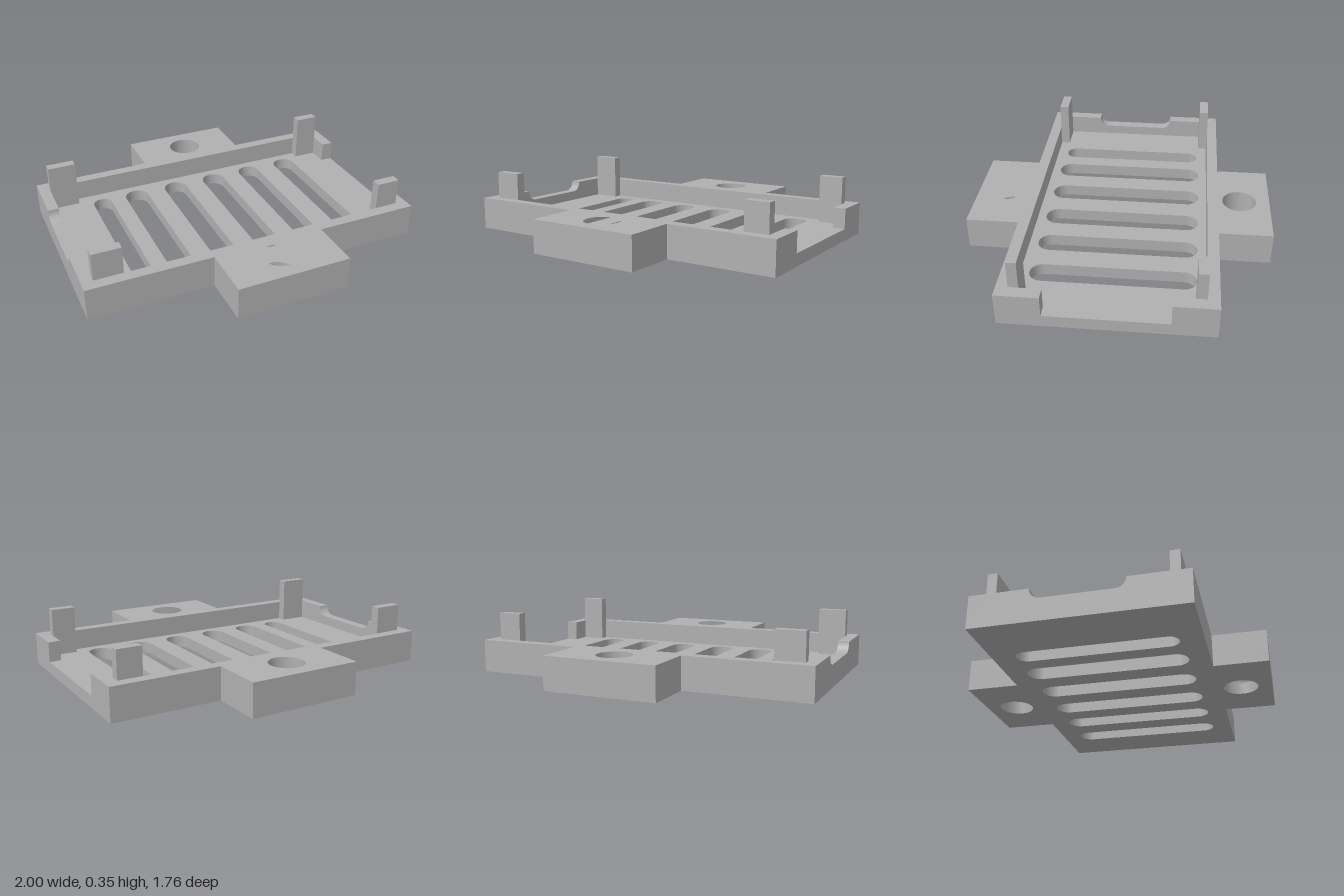
import * as THREE from 'three';
import { toCreasedNormals } from 'three/addons/utils/BufferGeometryUtils.js';

const FLOOR = 0.07, RIM = 0.19, POST = 0.35;   // heights
const X = 1, Z = 0.575;                        // outer half sizes of the tray
const IX0 = -0.935, IX1 = 0.93, IZ = 0.51;     // inner cavity
const TX0 = -0.285, TX1 = 0.375, TZ = 0.88;    // mounting tabs
const HOLE = { x: 0.045, z: 0.7, r: 0.1 };

const polygon = (pts) => new THREE.Shape(pts.map(([x, y]) => new THREE.Vector2(x, y)));

// Extrude a plan shape (x, -z) upward between two heights
function slab(shape, y0, y1) {
  const g = new THREE.ExtrudeGeometry(shape, { depth: y1 - y0, bevelEnabled: false, curveSegments: 20 });
  g.rotateX(-Math.PI / 2).translate(0, y0, 0);
  return toCreasedNormals(g, 0.6);
}

function roundHole(z) {
  return new THREE.Path().absarc(HOLE.x, z, HOLE.r, 0, Math.PI * 2, true);
}

// Round-ended ventilation slot
function slot(x0, x1, halfLength) {
  const r = (x1 - x0) / 2, c = (x0 + x1) / 2, e = halfLength - r;
  const p = new THREE.Path();
  p.absarc(c, e, r, 0, Math.PI, false);
  p.absarc(c, -e, r, Math.PI, Math.PI * 2, false);
  p.closePath();
  return p;
}

export function createModel() {
  const group = new THREE.Group();
  const grey = new THREE.MeshStandardMaterial({ color: 0xb0b0b0 });
  grey.name = 'plain grey';
  const add = (name, geometry) => {
    const mesh = new THREE.Mesh(geometry, grey);
    mesh.name = name;
    group.add(mesh);
    return mesh;
  };

  // Floor with tabs, slots and screw holes
  const floor = polygon([
    [-X, -Z], [TX0, -Z], [TX0, -TZ], [TX1, -TZ], [TX1, -Z], [X, -Z],
    [X, Z], [TX1, Z], [TX1, TZ], [TX0, TZ], [TX0, Z], [-X, Z],
  ]);
  const slots = [
    [-0.69, -0.575, 0.445], [-0.48, -0.335, 0.46], [-0.215, -0.07, 0.46],
    [0.055, 0.2, 0.46], [0.32, 0.46, 0.46], [0.59, 0.73, 0.46],
  ];
  floor.holes.push(roundHole(HOLE.z), roundHole(-HOLE.z), ...slots.map((s) => slot(...s)));
  add('floor', slab(floor, 0, FLOOR));

  for (const s of [1, -1]) {
    const side = s > 0 ? 'back' : 'front';

    // Long wall with its tab and the short return at the open end
    const wall = polygon([
      [-X, IZ], [IX1, IZ], [IX1, 0.335], [X, 0.335], [X, Z],
      [TX1, Z], [TX1, TZ], [TX0, TZ], [TX0, Z], [-X, Z],
    ].map(([x, z]) => [x, s * z]));
    wall.holes.push(roundHole(s * HOLE.z));
    add(side + 'WallAndTab', slab(wall, FLOOR, RIM));

    // Corner posts standing on the floor inside the walls
    for (const [x0, x1, end] of [[IX0, -0.77, 'Right'], [0.79, IX1, 'Left']]) {
      const post = add(side + end + 'Post', new THREE.BoxGeometry(x1 - x0, POST - FLOOR, 0.055));
      post.position.set((x0 + x1) / 2, (POST + FLOOR) / 2, -s * (IZ - 0.0275));
    }
  }

  // End wall with a filleted notch, drawn in (z, y) and extruded along x
  const n = 0.25, r = 0.06;
  const end = new THREE.Shape();
  end.moveTo(-IZ, FLOOR);
  end.lineTo(IZ, FLOOR);
  end.lineTo(IZ, RIM);
  end.lineTo(n, RIM);
  end.absarc(n - r, RIM, r, 0, -Math.PI / 2, true);
  end.absarc(r - n, RIM, r, -Math.PI / 2, -Math.PI, true);
  end.lineTo(-IZ, RIM);
  end.closePath();
  const endGeometry = new THREE.ExtrudeGeometry(end, { depth: X + IX0, bevelEnabled: false, curveSegments: 12 });
  endGeometry.rotateY(-Math.PI / 2).translate(IX0, 0, 0);
  add('notchedEndWall', toCreasedNormals(endGeometry, 0.6));

  return group;
}
